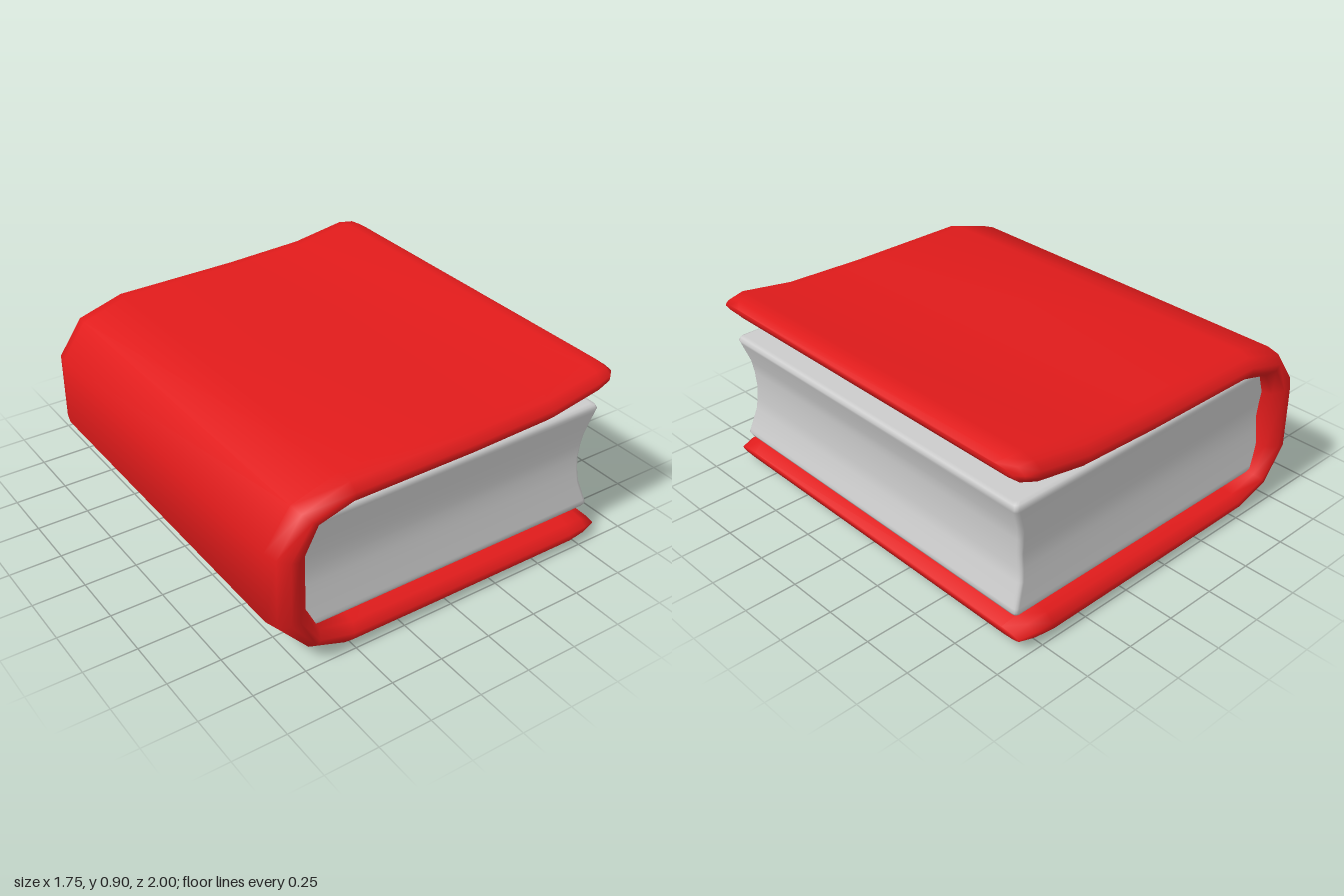
import * as THREE from 'three';

// Skins a list of equal-length closed rings of Vector3 and caps both ends
function loft(rings) {
  const n = rings[0].length, index = [];
  const points = rings.flat();
  for (let i = 0; i < rings.length - 1; i++) {
    for (let j = 0; j < n; j++) {
      const k = (j + 1) % n;
      const a = i * n + j, b = i * n + k, c = a + n, d = b + n;
      index.push(a, b, d, a, d, c);
    }
  }
  const cap = (ring, base, flip) => {
    const centre = ring.reduce((s, p) => s.add(p), new THREE.Vector3()).divideScalar(n);
    const m = points.push(centre) - 1;
    for (let j = 0; j < n; j++) {
      const a = base + j, b = base + (j + 1) % n;
      index.push(m, ...(flip ? [b, a] : [a, b]));
    }
  };
  cap(rings[0], 0, true);
  cap(rings[rings.length - 1], (rings.length - 1) * n, false);
  const geometry = new THREE.BufferGeometry().setFromPoints(points);
  geometry.setIndex(index);
  geometry.computeVertexNormals();
  return geometry;
}

// Padded cover: one strip wrapping from the lower board round the spine to the upper board
function coverGeometry() {
  // outer x, outer y, inner x, inner y, half depth
  const stations = [
    [0.855, 0.05, 0.855, 0.08, 0.97],
    [0.78, 0.018, 0.79, 0.115, 0.99],
    [0.69, 0.002, 0.69, 0.13, 1],
    [-0.1, 0.006, -0.1, 0.13, 1],
    [-0.54, 0.012, -0.49, 0.13, 1],
    [-0.72, 0.08, -0.65, 0.16, 1],
    [-0.875, 0.25, -0.71, 0.28, 1],
    [-0.875, 0.59, -0.71, 0.55, 1],
    [-0.75, 0.765, -0.65, 0.67, 1],
    [-0.52, 0.835, -0.5, 0.71, 1],
    [0.1, 0.84, 0.1, 0.715, 1],
    [0.5, 0.855, 0.51, 0.73, 1],
    [0.77, 0.9, 0.75, 0.77, 0.995],
    [0.84, 0.89, 0.83, 0.8, 0.98],
    [0.87, 0.87, 0.867, 0.84, 0.95],
  ];
  // rounded edge: fraction through the thickness, setback from the end
  const edge = [[0, 0.1], [0.1, 0.035], [0.38, 0], [0.62, 0], [0.9, 0.035], [1, 0.1]];
  return loft(stations.map(([ox, oy, ix, iy, h]) => {
    const side = (s) => edge.map(([t, back]) => new THREE.Vector3(
      THREE.MathUtils.lerp(ox, ix, t), THREE.MathUtils.lerp(oy, iy, t), s * (h - back)));
    return [...side(1), ...side(-1).reverse()];
  }));
}

// Page block: rounded rectangles stacked in y, hollowed on the three open sides
function pagesGeometry() {
  const middle = 0.42, left = -0.73, r = 0.02;
  // distance below the middle, right edge, half depth
  const half = [
    [0.273, 0.815, 0.912], [0.268, 0.832, 0.928], [0.252, 0.84, 0.935],
    [0.235, 0.834, 0.932], [0.13, 0.797, 0.918], [0.07, 0.79, 0.911],
  ];
  const levels = [
    ...half.map(([d, x, z]) => [middle - d, x, z]),
    [middle, 0.788, 0.905],
    ...half.map(([d, x, z]) => [middle + d, x, z]).reverse(),
  ];
  return loft(levels.map(([y, right, h]) => {
    const corners = [[right - r, h - r], [right - r, r - h], [left + r, r - h], [left + r, h - r]];
    return corners.flatMap(([cx, cz], q) => [0, 1, 2, 3].map((k) => {
      const a = (q + k / 3) * Math.PI / 2;
      return new THREE.Vector3(cx + r * Math.sin(a), y, cz + r * Math.cos(a));
    }));
  }));
}

export function createModel() {
  const group = new THREE.Group();
  group.name = 'book';
  const add = (name, geometry, color) => {
    const mesh = new THREE.Mesh(geometry, new THREE.MeshStandardMaterial({ color }));
    mesh.name = name;
    group.add(mesh);
  };
  add('cover', coverGeometry(), 0xe01b1b);
  add('pages', pagesGeometry(), 0xcccccc);
  return group;
}
